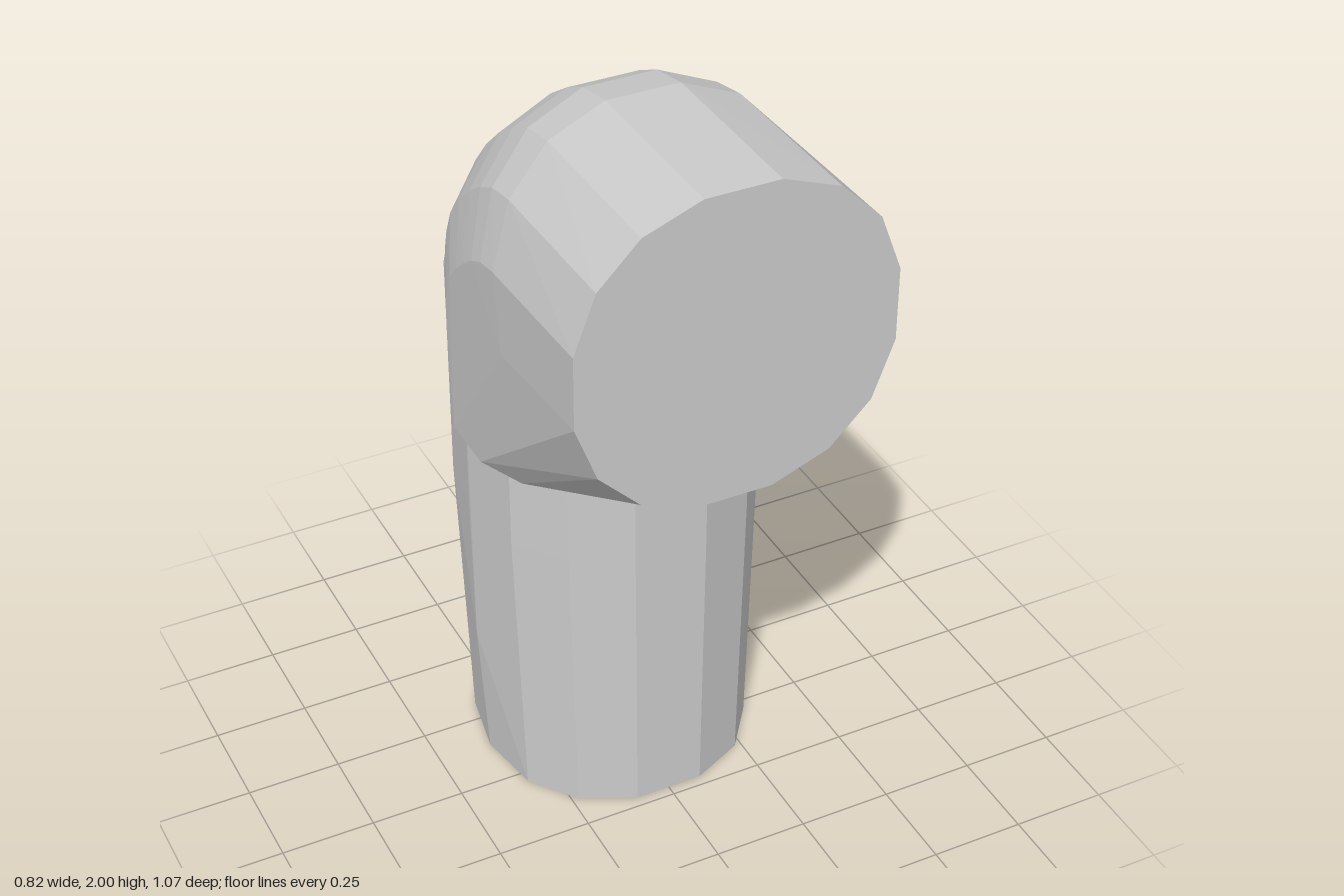
import * as THREE from 'three';
import { ConvexGeometry } from 'three/addons/geometries/ConvexGeometry.js';

const material = new THREE.MeshStandardMaterial({ color: 0xcccccc, flatShading: true });

// Slightly squared ring spanning the (z, y) points a to b, with half-width w in x
function ring(a, b, w, sides) {
  const soften = (v) => Math.sign(v) * Math.abs(v) ** 0.9;
  const raw = Array.from({ length: sides }, (_, i) => {
    const t = ((i + 0.5) / sides) * Math.PI * 2;
    return [soften(Math.sin(t)), soften(Math.cos(t))];
  });
  const maxX = Math.max(...raw.map((p) => p[0]));
  const maxV = Math.max(...raw.map((p) => p[1]));
  return raw.map(([x, v]) => {
    const k = (v / maxV + 1) / 2;
    return new THREE.Vector3((x / maxX) * w, a[1] + (b[1] - a[1]) * k, a[0] + (b[0] - a[0]) * k);
  });
}

function hull(name, points) {
  const mesh = new THREE.Mesh(new ConvexGeometry(points), material);
  mesh.name = name;
  return mesh;
}

export function createModel() {
  const group = new THREE.Group();
  group.name = 'pipeElbow';

  // Upright pipe: height, back z, half-width; the front stays flush
  const levels = [[0, -0.5, 0.355], [0.8, -0.53, 0.38], [1.42, -0.53, 0.38], [1.53, -0.495, 0.37]];
  const upright = levels.flatMap(([y, back, w]) => ring([0.22, y], [back, y], w, 14));
  // Uneven corners at the foot
  upright.push(new THREE.Vector3(0.38, 0.08, -0.14), new THREE.Vector3(-0.38, 0.4, -0.14));
  group.add(hull('uprightPipe', upright));

  // Bend and mouth: rings fan from the inner corner to the outer curve
  const bend = [
    ...ring([0.54, 1.18], [0.54, 2], 0.408, 16),
    ...ring([0.22, 1.02], [-0.47, 1.02], 0.39, 16),
  ];
  const outer = [
    [0.06, 2, 0.408], [-0.06, 1.975, 0.406], [-0.15, 1.93, 0.405], [-0.24, 1.87, 0.402],
    [-0.33, 1.79, 0.4], [-0.41, 1.7, 0.397], [-0.455, 1.61, 0.394], [-0.48, 1.53, 0.392], [-0.49, 1.4, 0.39],
  ];
  for (const [z, y, w] of outer) bend.push(...ring([0.2, 1.12], [z, y], w, 16));
  group.add(hull('elbowBend', bend));

  return group;
}
